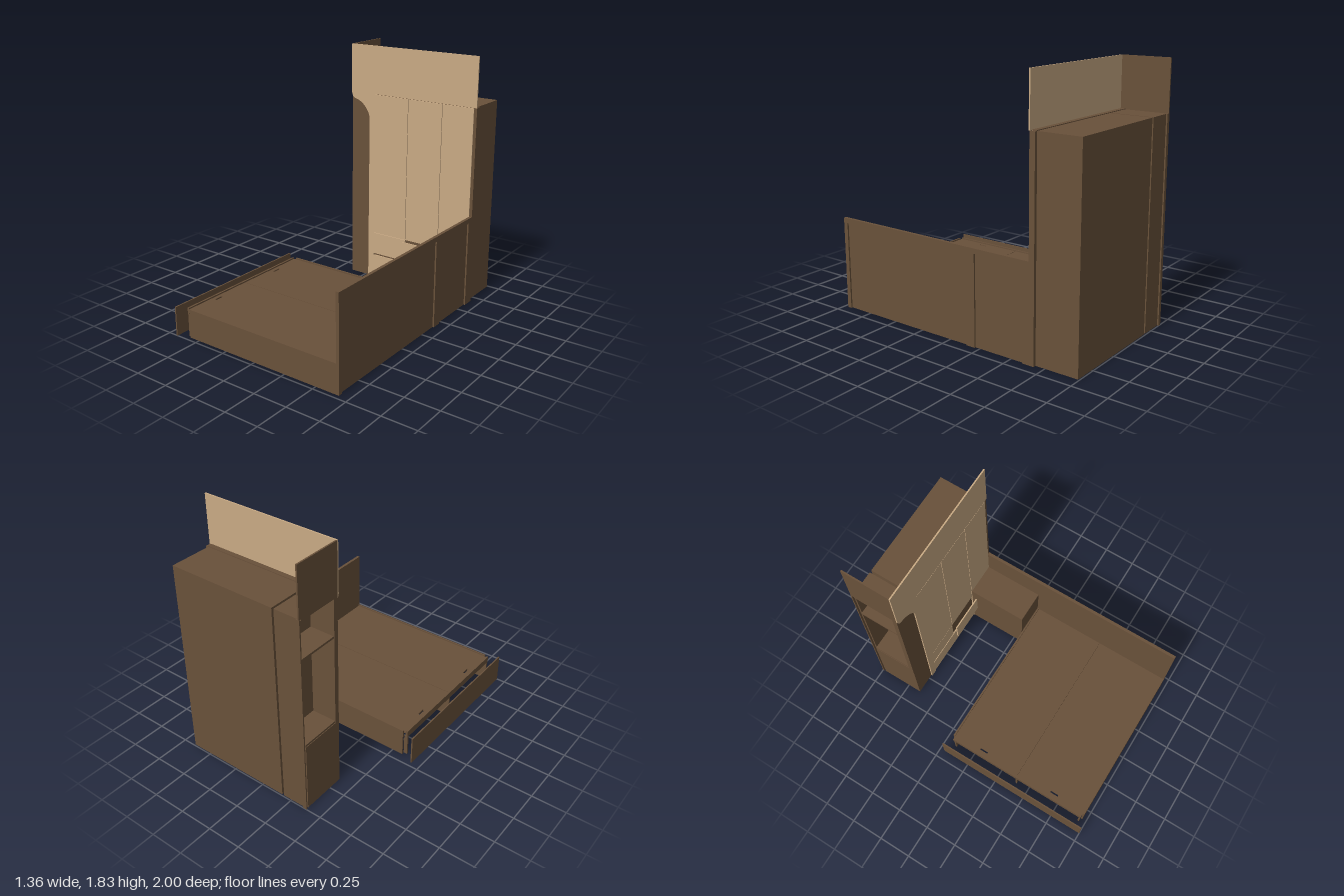
import * as THREE from 'three';

const brown = new THREE.MeshStandardMaterial({ color: 0x69513a });
brown.name = 'darkWood';
const tan = new THREE.MeshStandardMaterial({ color: 0xc9aa84 });
tan.name = 'lightWood';

// Box given by its limits on each axis
function board(parent, name, [x0, x1], [y0, y1], [z0, z1], material = brown) {
  const mesh = new THREE.Mesh(new THREE.BoxGeometry(x1 - x0, y1 - y0, z1 - z0), material);
  mesh.position.set((x0 + x1) / 2, (y0 + y1) / 2, (z0 + z1) / 2);
  mesh.name = name;
  parent.add(mesh);
  return mesh;
}

function section(parent, name) {
  const g = new THREE.Group();
  g.name = name;
  parent.add(g);
  return g;
}

function rectangle(PathType, x0, x1, y0, y1) {
  const p = new PathType();
  p.moveTo(x0, y0);
  p.lineTo(x1, y0);
  p.lineTo(x1, y1);
  p.lineTo(x0, y1);
  p.closePath();
  return p;
}

// Low bed platform, open underneath and along its left-hand long side
function buildBed(root) {
  const bed = section(root, 'bed');
  board(bed, 'frontRail', [-0.58, 0.655], [0, 0.21], [0.955, 0.968]);
  board(bed, 'backRail', [-0.58, 0.655], [0, 0.21], [-0.18, -0.167]);
  board(bed, 'sideLip', [-0.61, -0.597], [0.16, 0.21], [-0.165, 0.953]);
  // Two top boards, each with a finger slot
  for (const [z0, z1, slot] of [[-0.167, 0.393, 0.083], [0.397, 0.955, 0.7]]) {
    const shape = rectangle(THREE.Shape, -0.597, 0.655, -z1, -z0);
    shape.holes.push(rectangle(THREE.Path, -0.567, -0.554, -slot - 0.032, -slot + 0.032));
    const geo = new THREE.ExtrudeGeometry(shape, { depth: 0.013, bevelEnabled: false });
    geo.rotateX(-Math.PI / 2);
    const top = new THREE.Mesh(geo, brown);
    top.position.y = 0.187;
    top.name = 'platformBoard';
    bed.add(top);
  }
  // Supports below the boards
  board(bed, 'crossDivider', [-0.607, 0.655], [0, 0.187], [0.388, 0.402]);
  for (const x of [-0.18, 0.24]) board(bed, 'longDivider', [x - 0.007, x + 0.007], [0, 0.187], [-0.167, 0.955]);
  for (const z of [-0.16, 0.94]) board(bed, 'cornerBlock', [-0.607, -0.58], [0, 0.16], [z, z + 0.013]);
  // Detached side panel
  board(root, 'loosePanel', [-0.684, -0.674], [0, 0.213], [-0.215, 1]);
}

// Tall side rail with two recessed fields
function buildRail(root) {
  const rail = section(root, 'sideRail');
  board(rail, 'railPanel', [0.655, 0.666], [0, 0.64], [-0.64, 0.968]);
  board(rail, 'topBand', [0.655, 0.677], [0.64, 0.675], [-0.64, 0.968]);
  for (const [z0, z1] of [[0.935, 0.968], [-0.215, -0.145], [-0.64, -0.595]])
    board(rail, 'stile', [0.666, 0.677], [0, 0.64], [z0, z1]);
  board(rail, 'post', [0.655, 0.677], [0, 1.47], [-0.68, -0.64]);
}

// Bedside box joining bed and wardrobe
function buildBedside(root) {
  const box = section(root, 'bedsideBox');
  board(box, 'bedsideTop', [0.41, 0.655], [0.445, 0.46], [-0.635, -0.18]);
  board(box, 'bedsideWall', [0.41, 0.423], [0, 0.445], [-0.635, -0.18]);
  board(box, 'bedsideFront', [0.423, 0.655], [0, 0.445], [-0.193, -0.18]);
}

// Wardrobe body on an open plinth, plus the side niche
function buildWardrobe(root) {
  const w = section(root, 'wardrobe');
  board(w, 'body', [-0.168, 0.655], [0.05, 1.47], [-0.99, -0.68]);
  board(w, 'plinthBack', [-0.168, 0.655], [0, 0.05], [-0.99, -0.977]);
  for (let i = 0; i < 5; i++) {
    const x = -0.168 + i * 0.2025;
    board(w, 'plinthDivider', [x, x + 0.013], [0, 0.05], [-0.977, -0.68]);
  }
  board(w, 'frontFrame', [-0.382, 0.655], [0, 1.475], [-0.68, -0.645]);

  const n = section(root, 'niche');
  board(n, 'nicheBack', [-0.372, -0.184], [0, 1.47], [-0.99, -0.977]);
  board(n, 'nicheInnerWall', [-0.197, -0.184], [0, 1.47], [-0.977, -0.68]);
  board(n, 'nicheTop', [-0.382, -0.197], [1.455, 1.47], [-0.977, -0.68]);
  for (const y of [0.53, 1.19]) board(n, 'shelf', [-0.378, -0.197], [y - 0.015, y], [-0.977, -0.68]);
  board(n, 'lowerPanel', [-0.382, -0.37], [0, 0.515], [-0.977, -0.68]);
  board(n, 'nichePost', [-0.386, -0.358], [0, 1.47], [-1, -0.99]);
  board(n, 'upperSidePanel', [-0.384, -0.373], [1.47, 1.832], [-1, -0.645]);
}

// Light facing with doors, drawers and a rounded cut-out
function buildFacing(root) {
  const f = section(root, 'facing');
  const z = [-0.645, -0.635];
  board(f, 'upperPanel', [-0.384, 0.677], [1.472, 1.832], z, tan);

  const s = new THREE.Shape();
  s.moveTo(-0.219, 0);
  s.lineTo(-0.168, 0);
  s.lineTo(-0.168, 1.472);
  s.lineTo(-0.384, 1.472);
  s.quadraticCurveTo(-0.38, 1.425, -0.345, 1.42);
  s.bezierCurveTo(-0.28, 1.405, -0.219, 1.34, -0.219, 1.27);
  s.closePath();
  const curved = new THREE.Mesh(new THREE.ExtrudeGeometry(s, { depth: 0.01, bevelEnabled: false, curveSegments: 10 }), tan);
  curved.position.z = z[0];
  curved.name = 'curvedPanel';
  f.add(curved);

  board(f, 'door', [-0.168, 0.118], [0.374, 1.468], z, tan);
  board(f, 'door', [0.122, 0.403], [0.374, 1.468], z, tan);
  board(f, 'door', [0.407, 0.655], [0, 1.468], z, tan);
  for (const [x0, x1, zUpper] of [[-0.168, 0.118, z], [0.118, 0.405, [-0.6, -0.59]]]) {
    board(f, 'upperDrawerFront', [x0, x1], [0.2, 0.37], zUpper, tan);
    board(f, 'lowerDrawerFront', [x0, x1], [0.02, 0.185], z, tan);
  }
}

export function createModel() {
  const root = new THREE.Group();
  root.name = 'bedroomSet';
  buildBed(root);
  buildRail(root);
  buildBedside(root);
  buildWardrobe(root);
  buildFacing(root);
  return root;
}
